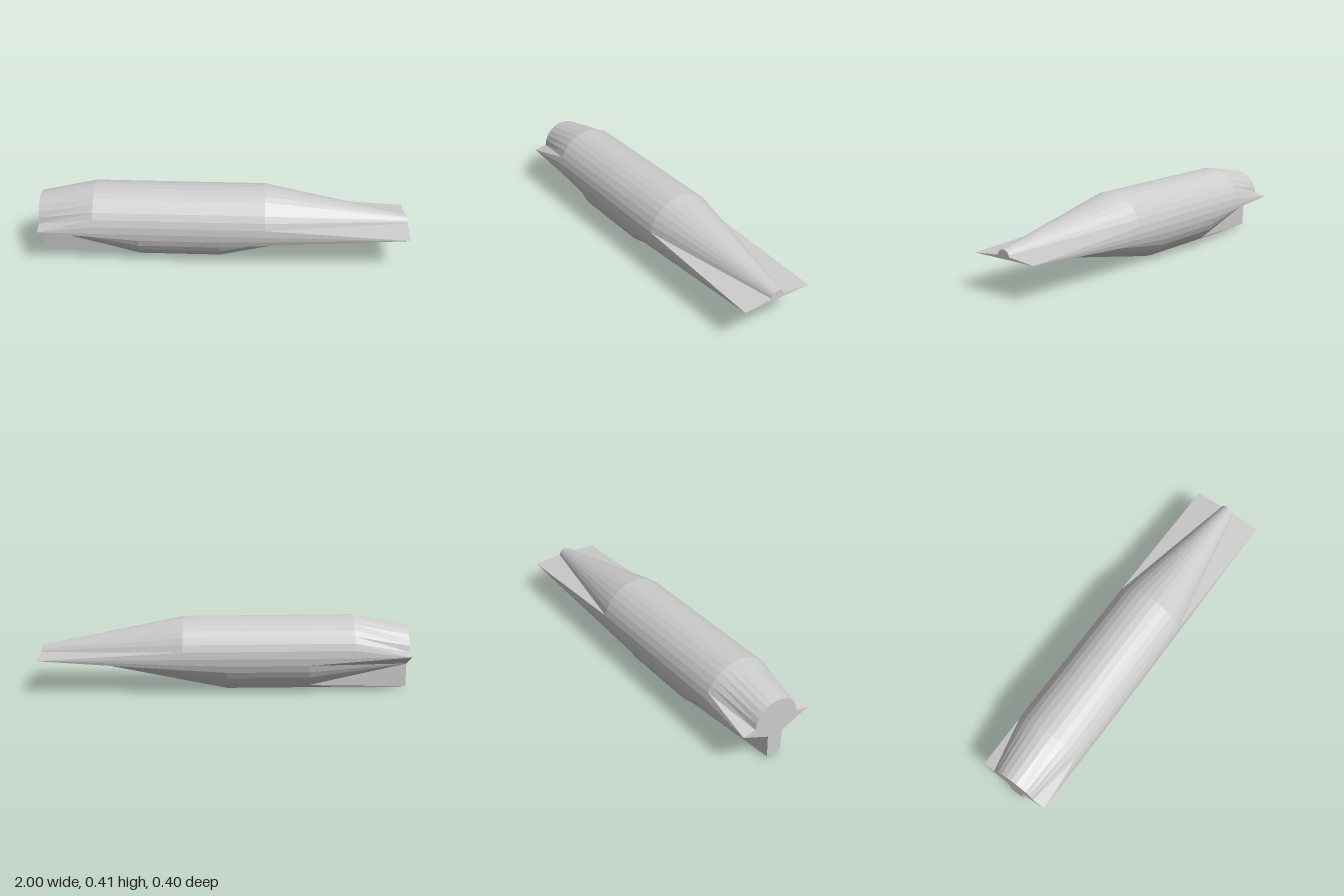
import * as THREE from 'three';

// Half of a cross-section has 17 points, k = 0 (top) to 16 (bottom), 32 around the whole hull.
const HALF = 16;
const V = (x, y, z) => new THREE.Vector3(x, y, z);

// Round hull ring; the hull axis is tilted slightly.
function ringPoint(k, x) {
  const a = (k / HALF) * Math.PI;
  return V(x, 0.2 - 0.011 * x + 0.2 * Math.cos(a), 0.2 * Math.sin(a));
}

// Tail section: round hump, side wing tips, pinched neck and narrow keel.
function tailPoint(k) {
  if (k <= 6) {
    const a = (k / 6) * 1.48;
    return V(-1, 0.215 + 0.135 * Math.cos(a), 0.13 * Math.sin(a));
  }
  if (k <= 9) return V(-1, 0.213, 0.2);
  if (k <= 13) return V(-1, 0.145, 0.045);
  return V(-1, 0.011 + 0.002 * (HALF - k), 0.02 * (HALF - k));
}

// Nose section: small hump on a wide flat blade.
function nosePoint(k) {
  if (k <= 6) {
    const a = (k / 6) * 1.37;
    return V(1, 0.197 + 0.04 * Math.cos(a), 0.04 * Math.sin(a));
  }
  return V(1, 0.19, k <= 9 ? 0.2 : 0);
}

// One lengthwise column of points, from tail cap centre to nose cap centre.
function column(k) {
  const t = THREE.MathUtils.clamp((k - 7) / 2, 0, 1);
  return [
    V(-1, 0.2, 0),
    tailPoint(k),
    ringPoint(k, THREE.MathUtils.lerp(-0.7, -0.46, t)),
    ringPoint(k, THREE.MathUtils.lerp(0.22, -0.02, t)),
    nosePoint(k),
    V(1, 0.19, 0),
  ];
}

function hullGeometry() {
  const columns = Array.from({ length: HALF + 1 }, (_, k) => column(k));
  const positions = [];
  const addTriangle = (a, b, c) => {
    if (new THREE.Triangle(a, b, c).getArea() < 1e-7) return;
    for (const p of [a, b, c]) positions.push(p.x, p.y, p.z);
    for (const p of [a, c, b]) positions.push(p.x, p.y, -p.z); // mirrored side
  };
  for (let k = 0; k < HALF; k++) {
    for (let s = 0; s < 5; s++) {
      const a = columns[k][s], b = columns[k][s + 1];
      const c = columns[k + 1][s + 1], d = columns[k + 1][s];
      addTriangle(a, d, b);
      addTriangle(b, d, c);
    }
  }
  const geometry = new THREE.BufferGeometry();
  geometry.setAttribute('position', new THREE.Float32BufferAttribute(positions, 3));
  geometry.computeVertexNormals();
  return geometry;
}

export function createModel() {
  const model = new THREE.Group();
  model.name = 'spacecraft';
  const material = new THREE.MeshStandardMaterial({ color: 0xcccccc, flatShading: true });
  const hull = new THREE.Mesh(hullGeometry(), material);
  hull.name = 'hull';
  model.add(hull);
  return model;
}
